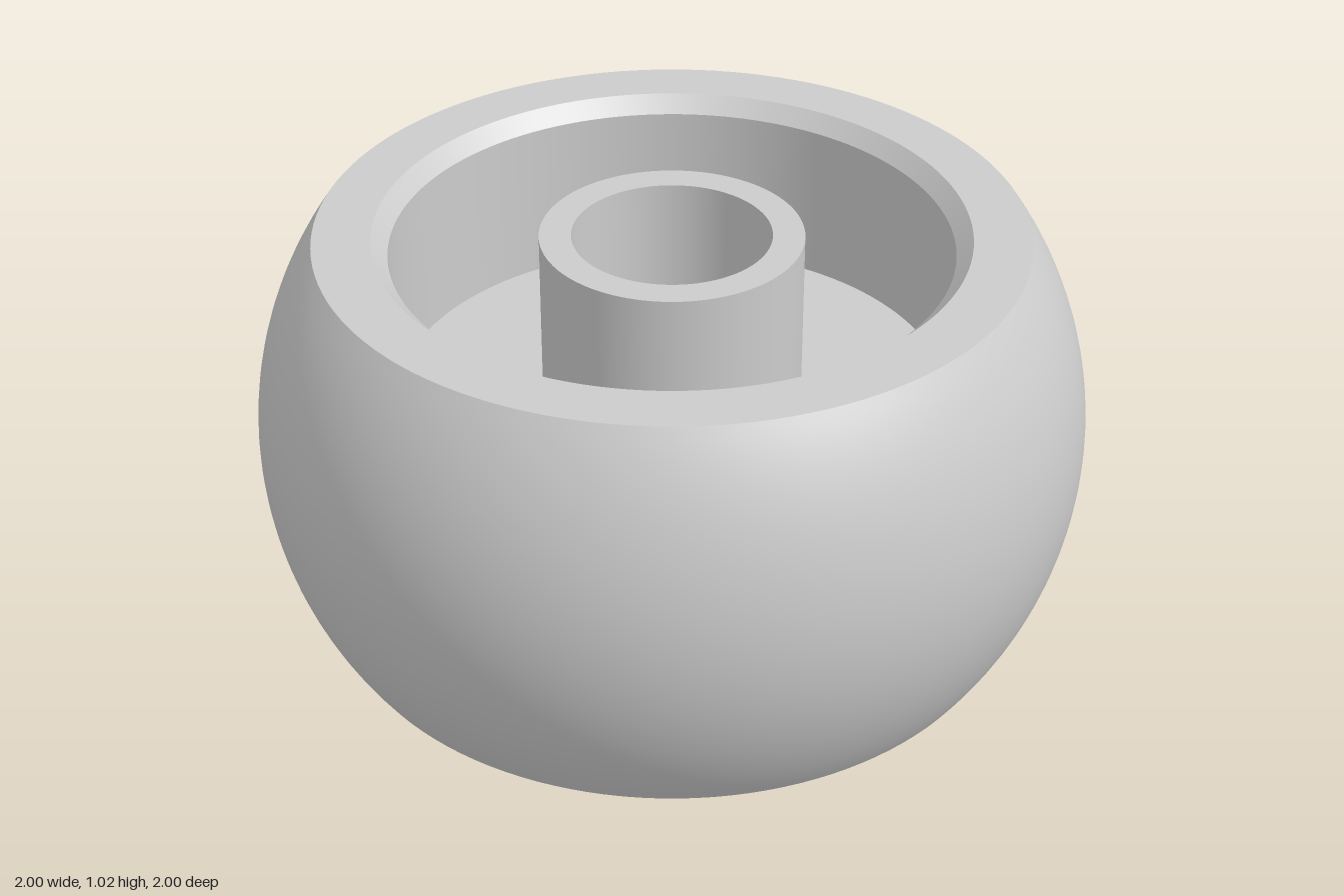
import * as THREE from 'three';
import { mergeGeometries } from 'three/addons/utils/BufferGeometryUtils.js';

const SEGMENTS = 128;
const HEIGHT = 1.02, MID = HEIGHT / 2;
const RIM = 0.843, MOUTH = 0.705, WALL = 0.667, CHAMFER = 0.04;
const HUB = 0.313, BORE = 0.237, HUB_INSET = 0.013;
const WEB_LOW = 0.44, WEB_HIGH = HEIGHT - WEB_LOW;

// Revolves each straight run of a profile on its own, so its corners stay sharp
function sharpLathe(profile) {
  const bands = [];
  for (let i = 1; i < profile.length; i++) {
    const ends = [profile[i - 1], profile[i]].map(([r, y]) => new THREE.Vector2(r, y));
    bands.push(new THREE.LatheGeometry(ends, SEGMENTS));
  }
  return mergeGeometries(bands);
}

// Crowned outer surface: a circular arc bulging from the rim radius to 1
function crownLathe() {
  const bulge = 1 - RIM;
  const radius = (MID * MID + bulge * bulge) / (2 * bulge);
  const sweep = Math.asin(MID / radius);
  const points = [];
  for (let i = 0; i <= 32; i++) {
    const a = sweep * (i / 16 - 1);
    points.push(new THREE.Vector2(1 - radius + radius * Math.cos(a), MID + radius * Math.sin(a)));
  }
  return new THREE.LatheGeometry(points, SEGMENTS);
}

export function createModel() {
  const group = new THREE.Group();
  const material = new THREE.MeshStandardMaterial({ color: 0xcccccc });
  const add = (name, geometry) => {
    const mesh = new THREE.Mesh(geometry, material);
    mesh.name = name;
    group.add(mesh);
  };

  add('tread', crownLathe());

  // Flat rim faces, chamfered mouths and recess walls
  add('upperRim', sharpLathe([
    [RIM, HEIGHT], [MOUTH, HEIGHT], [WALL, HEIGHT - CHAMFER], [WALL, WEB_HIGH],
  ]));
  add('lowerRim', sharpLathe([
    [WALL, WEB_LOW], [WALL, CHAMFER], [MOUTH, 0], [RIM, 0],
  ]));

  // Disc joining the rim to the hub
  add('webTop', sharpLathe([[WALL, WEB_HIGH], [HUB, WEB_HIGH]]));
  add('webBottom', sharpLathe([[HUB, WEB_LOW], [WALL, WEB_LOW]]));

  // Hub tube with an open bore, set slightly below the rim faces
  add('hub', sharpLathe([
    [HUB, WEB_HIGH], [HUB, HEIGHT - HUB_INSET], [BORE, HEIGHT - HUB_INSET],
    [BORE, HUB_INSET], [HUB, HUB_INSET], [HUB, WEB_LOW],
  ]));

  return group;
}
